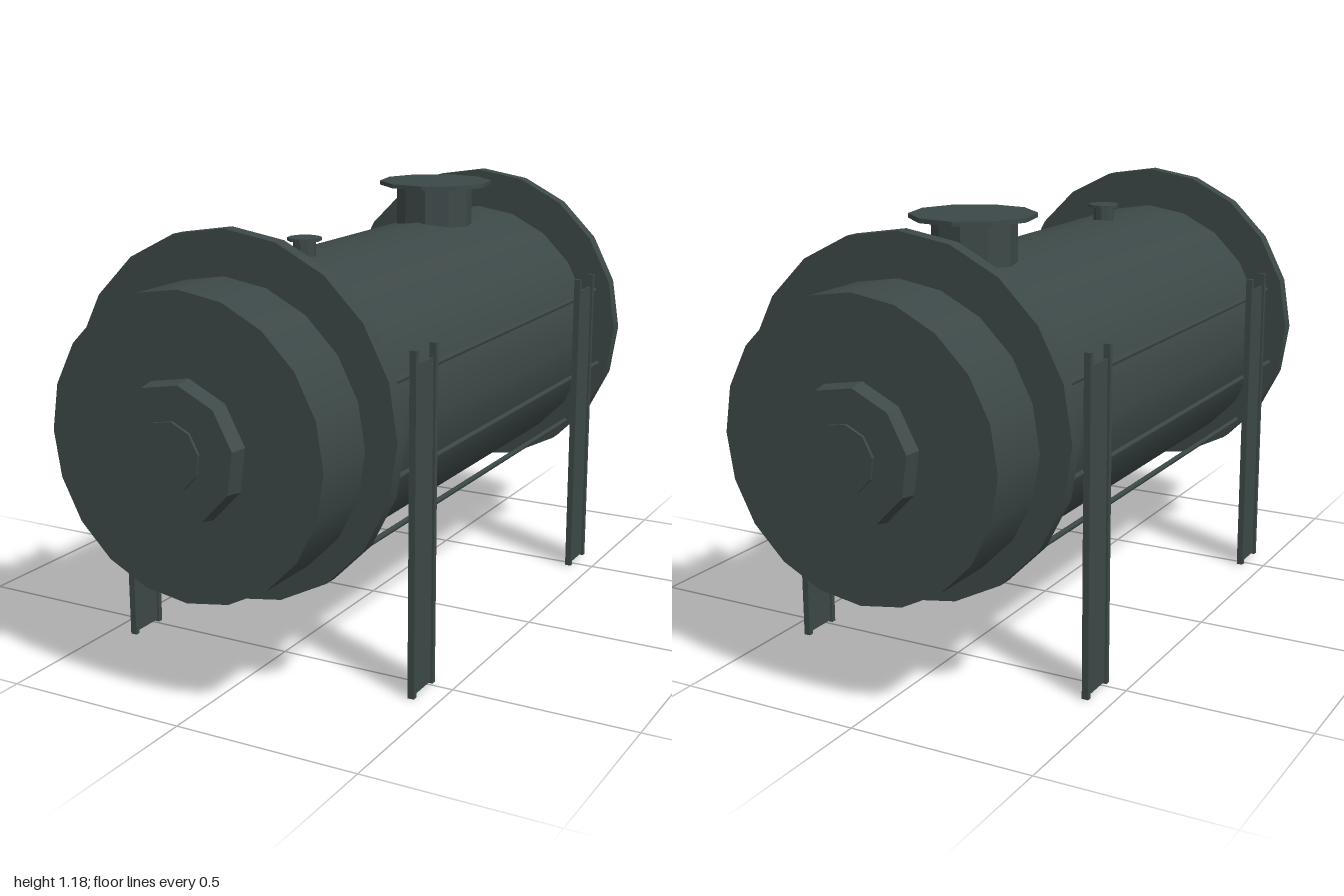
import * as THREE from 'three';

export function createModel() {
  const model = new THREE.Group();
  model.name = 'storageTank';
  const steel = new THREE.MeshStandardMaterial({ color: 0x3c4847 });
  steel.name = 'dark grey green steel';
  const DEG = Math.PI / 180;
  const AXIS_Y = 0.68;

  const add = (parent, name, geometry, x, y, z) => {
    const mesh = new THREE.Mesh(geometry, steel);
    mesh.name = name;
    mesh.position.set(x, y, z);
    parent.add(mesh);
    return mesh;
  };
  // Faceted upright cylinder, turned by start degrees
  const faceted = (rTop, rBottom, height, start) => {
    const g = new THREE.CylinderGeometry(rTop, rBottom, height, 10, 1, false, start * DEG).toNonIndexed();
    g.computeVertexNormals();
    return g;
  };
  // Smooth drum lying along z
  const drum = (radius, length) =>
    new THREE.CylinderGeometry(radius, radius, length, 20).rotateX(Math.PI / 2);

  // Tank body and the two support rings
  add(model, 'tankBody', drum(0.383, 1.885), 0, AXIS_Y, -0.001);
  for (const z of [0.728, -0.726]) add(model, 'supportRing', drum(0.468, 0.04), 0, 0.71, z);

  // Tapered hatch with a round plate on each end
  for (const side of [1, -1]) {
    const end = new THREE.Group();
    end.name = side > 0 ? 'frontHatch' : 'backHatch';
    add(end, 'hatchCollar', faceted(0.171, 0.18, 0.05, 28).rotateX(Math.PI / 2), 0, 0, 0.96);
    add(end, 'hatchPlate', faceted(0.086, 0.086, 0.008, 28).rotateX(Math.PI / 2), 0, 0, 0.996);
    end.position.y = AXIS_Y;
    if (side < 0) end.rotation.y = Math.PI;
    model.add(end);
  }

  // Manway and small vent on top
  add(model, 'manwayNeck', faceted(0.112, 0.112, 0.13, 12), 0, 1.1, -0.387);
  add(model, 'manwayLid', faceted(0.166, 0.166, 0.012, 12), 0, 1.17, -0.393);
  add(model, 'ventNeck', faceted(0.03, 0.03, 0.06, 12), 0, 1.07, 0.374);
  add(model, 'ventCap', faceted(0.045, 0.045, 0.008, 12), 0, 1.103, 0.373);

  // Side rods between the rings, and four H-section legs
  for (const side of [1, -1]) {
    for (const angle of [20, -11.5, -42]) {
      const rod = new THREE.CylinderGeometry(0.008, 0.008, 1.44, 6).rotateX(Math.PI / 2);
      add(model, 'sideRod', rod, side * 0.425 * Math.cos(angle * DEG),
        AXIS_Y + 0.425 * Math.sin(angle * DEG), 0);
    }
    for (const z of [0.538, -0.535]) {
      const leg = new THREE.Group();
      leg.name = (side > 0 ? 'left' : 'right') + (z > 0 ? 'FrontLeg' : 'BackLeg');
      add(leg, 'legWeb', new THREE.BoxGeometry(0.006, 0.855, 0.108), 0, 0.433, 0);
      for (const edge of [1, -1]) {
        add(leg, 'legFlange', new THREE.BoxGeometry(0.018, 0.897, 0.014), 0, 0.4485, edge * 0.053);
      }
      leg.position.set(side * 0.43, 0, z);
      model.add(leg);
    }
  }
  return model;
}
